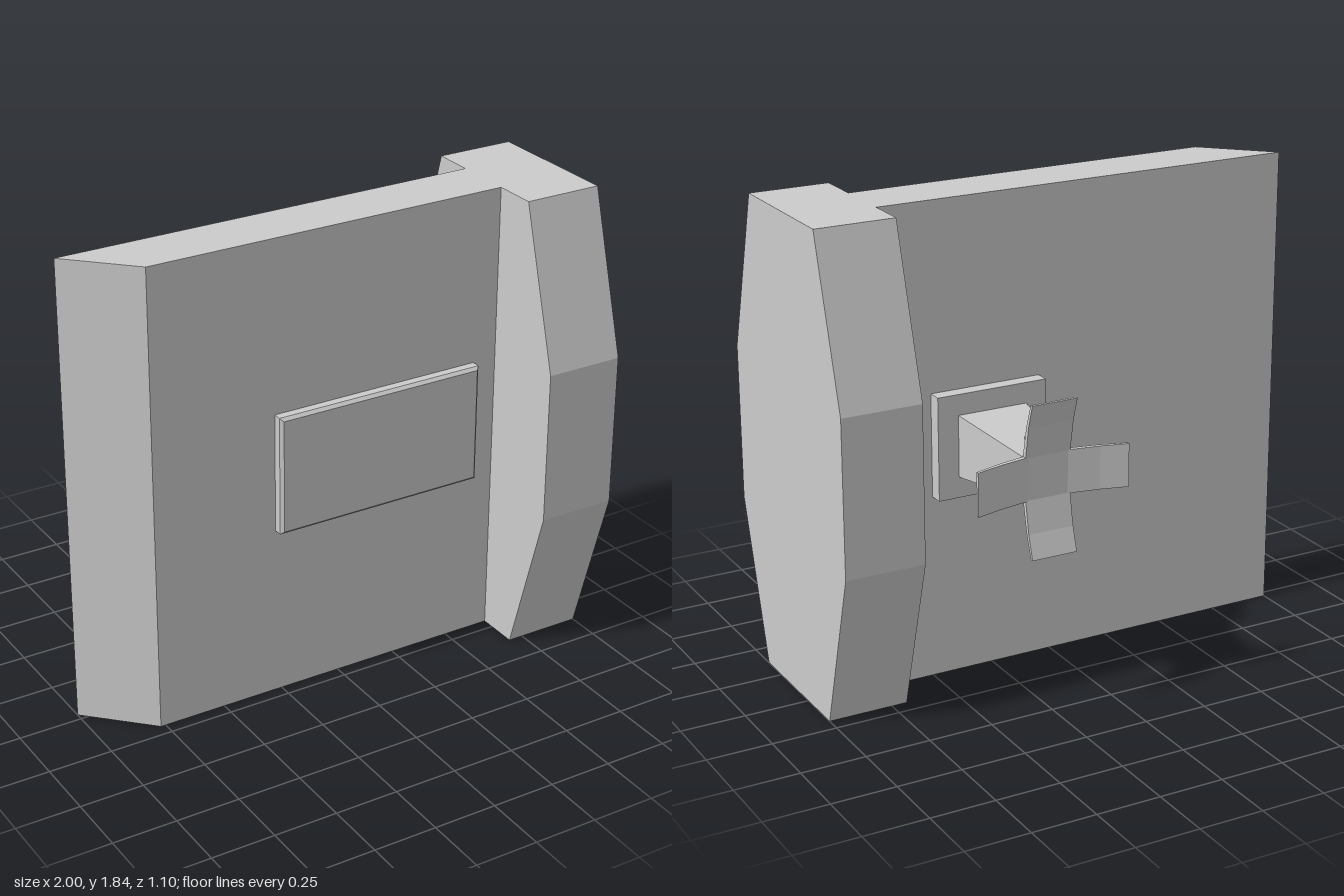
import * as THREE from 'three';

const material = new THREE.MeshStandardMaterial({ color: 0xcccccc, flatShading: true });

function add(parent, name, geometry, x = 0, y = 0, z = 0) {
  const mesh = new THREE.Mesh(geometry, material);
  mesh.name = name;
  mesh.position.set(x, y, z);
  parent.add(mesh);
  return mesh;
}

const outline = (points) => new THREE.Shape(points.map(([x, y]) => new THREE.Vector2(x, y)));
const extrude = (points, depth) =>
  new THREE.ExtrudeGeometry(outline(points), { depth, bevelEnabled: false });

// Profile drawn as (x, -z), extruded upwards in y
const extrudeUp = (points, height) => extrude(points, height).rotateX(-Math.PI / 2);

// Same, centred on y = 0
const rib = (points, width) => extrudeUp(points, width).translate(0, -width / 2, 0);

export function createModel() {
  const model = new THREE.Group();
  model.name = 'panelWithEmitter';
  const height = 1.84;

  // Slab with one slanted edge
  add(model, 'mainPanel', extrudeUp(
    [[-1, 0.03], [-0.77, -0.2], [0.7, -0.2], [0.7, 0.03]], height));

  // Eight-sided end block, profile drawn as (-z, y)
  add(model, 'endBlock', extrude([
    [-0.37, 0], [0.19, 0], [0.37, 0.62], [0.37, 1.22],
    [0.19, height], [-0.37, height], [-0.55, 1.22], [-0.55, 0.62],
  ], 0.31).rotateY(Math.PI / 2), 0.69);

  // Raised plate with chamfered edges on the front
  const bevel = 0.012;
  const w = 0.432 - bevel, h = 0.237 - bevel;
  add(model, 'frontPlate', new THREE.ExtrudeGeometry(
    outline([[-w, -h], [w, -h], [w, h], [-w, h]]),
    { depth: 0.06, bevelThickness: bevel, bevelSize: bevel, bevelSegments: 1 },
  ), 0.16, 0.923, 0.245 - 0.06 - bevel);

  // Emitter on the back
  const emitter = new THREE.Group();
  emitter.name = 'rearEmitter';
  emitter.position.set(0.268, 0.92, 0);
  model.add(emitter);

  add(emitter, 'mountPlate', new THREE.BoxGeometry(0.445, 0.4, 0.065), 0, 0, -0.0525);

  // Tapered pedestal
  const pedestal = new THREE.BoxGeometry(1, 1, 0.4);
  const p = pedestal.attributes.position;
  for (let i = 0; i < p.count; i++) {
    const rear = p.getZ(i) < 0;
    p.setX(i, p.getX(i) * (rear ? 0.18 : 0.28));
    p.setY(i, p.getY(i) * (rear ? 0.16 : 0.24));
  }
  pedestal.computeVertexNormals();
  add(emitter, 'pedestal', pedestal, 0, 0, -0.283);

  add(emitter, 'crossCentre', new THREE.BoxGeometry(0.17, 0.17, 0.02), 0, 0, -0.49);

  // Four flared arms, each with a bent strut and a pad beneath it
  for (let k = 0; k < 4; k++) {
    const arm = new THREE.Group();
    arm.name = 'arm' + (k + 1);
    arm.rotation.z = k * Math.PI / 2;
    emitter.add(arm);
    const reach = k % 2 ? 0.29 : 0.303;
    add(arm, 'armPanel', rib(
      [[0.08, 0.48], [0.2, 0.506], [reach, 0.538], [reach, 0.55], [0.2, 0.522], [0.08, 0.5]],
      k % 2 ? 0.18 : 0.165));
    add(arm, 'armPad', rib(
      [[0.1, 0.47], [0.215, 0.488], [0.245, 0.505], [0.24, 0.522], [0.1, 0.49]], 0.09));
    add(arm, 'armStrut', rib(
      [[0.085, 0.36], [0.103, 0.355], [0.115, 0.44], [0.225, 0.488],
        [0.225, 0.505], [0.1, 0.468]], 0.032));
  }

  return model;
}
